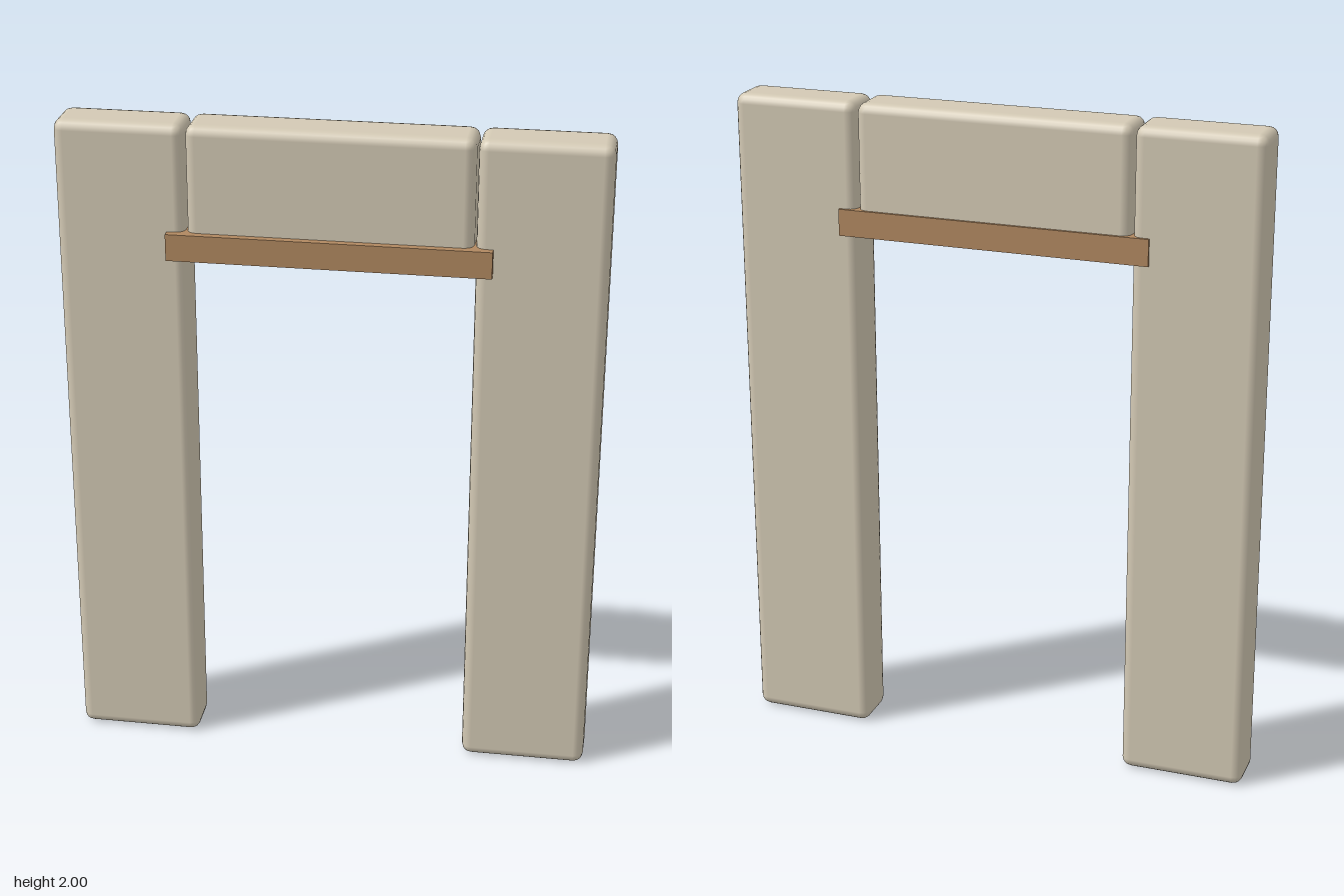
import * as THREE from 'three';
import { RoundedBoxGeometry } from 'three/addons/geometries/RoundedBoxGeometry.js';

const stone = new THREE.MeshStandardMaterial({ color: 0xd3c9b4 });
const wood = new THREE.MeshStandardMaterial({ color: 0xb08860 });

// Soft-edged stone block spanning the given x and y ranges
function block(name, x0, x1, y0, y1) {
  const z0 = -0.085, z1 = 0.07;
  const geometry = new RoundedBoxGeometry(x1 - x0, y1 - y0, z1 - z0, 2, 0.03);
  const mesh = new THREE.Mesh(geometry, stone);
  mesh.name = name;
  mesh.position.set((x0 + x1) / 2, (y0 + y1) / 2, (z0 + z1) / 2);
  return mesh;
}

export function createModel() {
  const group = new THREE.Group();
  group.name = 'doorway';

  // Side pillars
  group.add(block('rightPillar', -0.797, -0.42, 0, 2));
  group.add(block('leftPillar', 0.417, 0.795, 0, 2));

  // Stone panel above the opening, resting in the beam
  group.add(block('headPanel', -0.415, 0.412, 1.62, 2));

  // Wooden lintel, slightly deeper than the wall and let into the pillars
  const beam = new THREE.Mesh(new THREE.BoxGeometry(0.94, 0.08, 0.186), wood);
  beam.name = 'lintelBeam';
  beam.position.set(-0.002, 1.644, 0);
  group.add(beam);

  return group;
}
